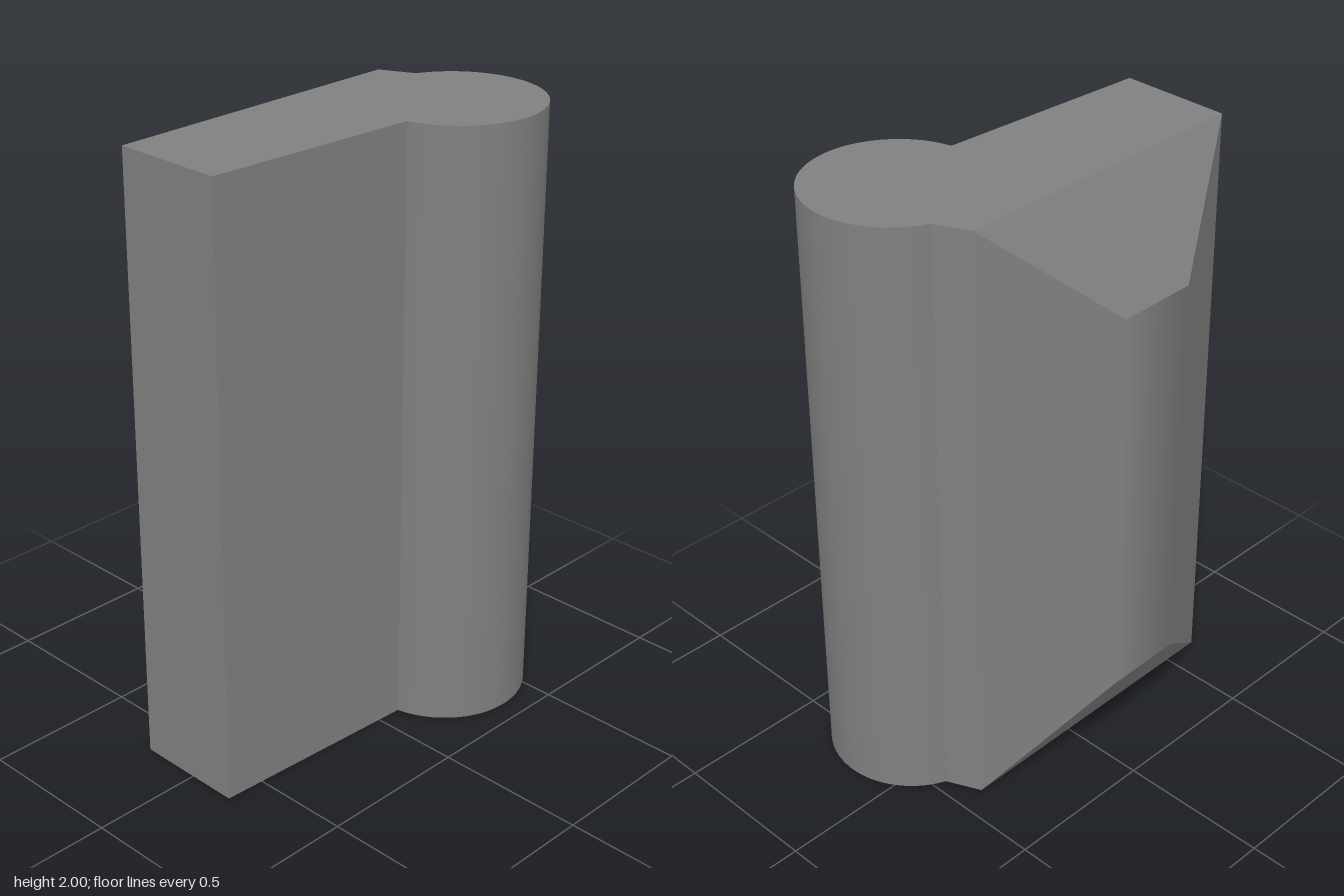
import * as THREE from 'three';
import { toCreasedNormals } from 'three/addons/utils/BufferGeometryUtils.js';

const HEIGHT = 2;

// Upright slab with a round column along one edge (shape y is -z)
function bodyGeometry() {
  const shape = new THREE.Shape();
  shape.moveTo(-0.633, -0.165);
  shape.lineTo(-0.63, 0.205);
  shape.lineTo(0.408, 0.215);
  shape.lineTo(0.459, 0.105);
  shape.absarc(0.355, -0.152, 0.276, 1.185, -2.948, true);
  shape.closePath();
  const geometry = new THREE.ExtrudeGeometry(shape, { depth: HEIGHT, bevelEnabled: false, curveSegments: 48 });
  geometry.rotateX(-Math.PI / 2);
  return toCreasedNormals(geometry, 0.5);
}

// Back panel: four slopes rising to a narrow strip
function backGeometry() {
  const level = (outer, inner) => ({
    a: new THREE.Vector3(-0.63, outer, -0.205),
    b: new THREE.Vector3(0.408, outer, -0.215),
    c: new THREE.Vector3(-0.245, inner, -0.426),
    d: new THREE.Vector3(0.027, inner, -0.431),
  });
  const low = level(0, 0.34);
  const high = level(HEIGHT, HEIGHT - 0.34);
  const faceNormal = (p, q, r) => q.clone().sub(p).cross(r.clone().sub(p)).normalize();
  const leftSlope = [low.b, low.d, high.d, high.b];
  const rightSlope = [low.c, low.a, high.a, high.c];
  const nl = faceNormal(...leftSlope);
  const nr = faceNormal(...rightSlope);

  const positions = [], normals = [];
  function quad(corners, cornerNormals) {
    const flat = faceNormal(...corners);
    for (const i of [0, 1, 2, 0, 2, 3]) {
      positions.push(...corners[i].toArray());
      normals.push(...(cornerNormals ? cornerNormals[i] : flat).toArray());
    }
  }
  quad(leftSlope);
  quad(rightSlope);
  quad([low.a, low.c, low.d, low.b]);
  quad([high.a, high.b, high.d, high.c]);
  // The strip shades smoothly from one side slope to the other
  quad([low.d, low.c, high.c, high.d], [nl, nr, nr, nl]);

  const geometry = new THREE.BufferGeometry();
  geometry.setAttribute('position', new THREE.Float32BufferAttribute(positions, 3));
  geometry.setAttribute('normal', new THREE.Float32BufferAttribute(normals, 3));
  return geometry;
}

export function createModel() {
  const grey = new THREE.MeshStandardMaterial({ color: 0x808080 });
  grey.name = 'grey';
  const group = new THREE.Group();
  group.name = 'columnBlock';
  const add = (name, geometry) => {
    const mesh = new THREE.Mesh(geometry, grey);
    mesh.name = name;
    group.add(mesh);
  };
  add('slabWithColumn', bodyGeometry());
  add('bevelledBack', backGeometry());
  return group;
}
